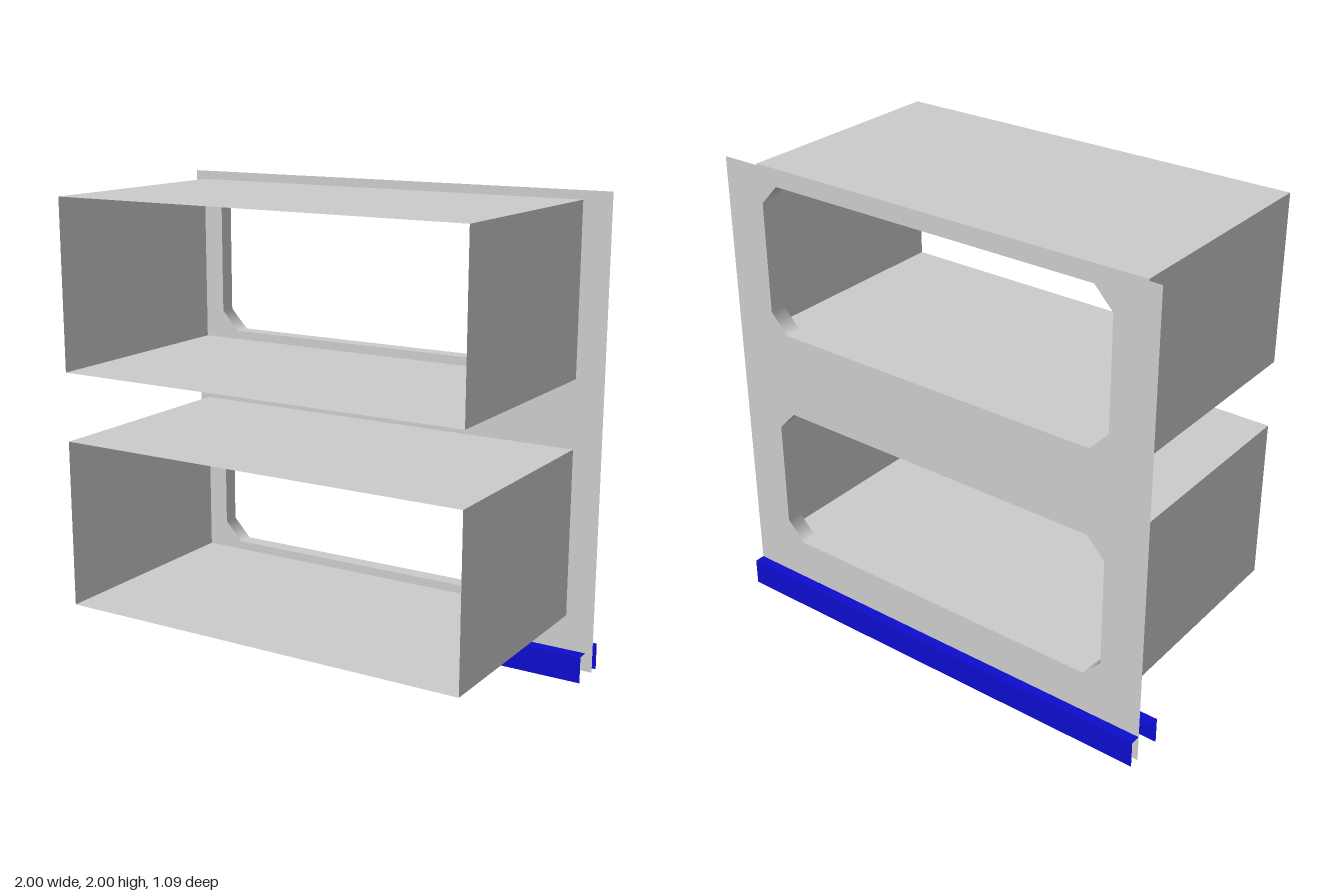
import * as THREE from 'three';

const grey = new THREE.MeshStandardMaterial({ color: 0xcccccc, side: THREE.DoubleSide });
const blue = new THREE.MeshStandardMaterial({ color: 0x0d0dcc, side: THREE.DoubleSide });

const BACK = -0.5, BOX_BACK = -0.43, FRONT = 0.545;
const BAY_HEIGHTS = [0.615, 1.615];

function named(geometry, material, name) {
  const mesh = new THREE.Mesh(geometry, material);
  mesh.name = name;
  return mesh;
}

// Corners of a rectangle, counter-clockwise
function rectangle(w, h, y) {
  return [[w, y - h], [w, y + h], [-w, y + h], [-w, y - h]].map(p => new THREE.Vector2(...p));
}

// Chamfered opening, with the inward normal at each corner
function opening(y) {
  const w = 0.815, h = 0.318, cut = 0.085;
  const points = [], normals = [];
  for (const [sx, sy] of [[1, 1], [-1, 1], [-1, -1], [1, -1]]) {
    const side = [new THREE.Vector2(sx * w, y + sy * (h - cut)), new THREE.Vector2(-sx, 0)];
    const end = [new THREE.Vector2(sx * (w - 0.08), y + sy * h), new THREE.Vector2(0, -sy)];
    for (const [p, n] of sx * sy > 0 ? [side, end] : [end, side]) {
      points.push(p);
      normals.push(n);
    }
  }
  return { points, normals };
}

// Open-ended sleeve swept along z; flat faces unless corner normals are given
function sleeve(points, z0, z1, corners) {
  const position = [], normal = [], index = [];
  points.forEach((a, i) => {
    const j = (i + 1) % points.length, b = points[j], k = i * 4;
    const flat = new THREE.Vector2(b.y - a.y, a.x - b.x).normalize();
    const na = corners ? corners[i] : flat, nb = corners ? corners[j] : flat;
    for (const [p, n] of [[a, na], [b, nb]]) {
      for (const z of [z0, z1]) {
        position.push(p.x, p.y, z);
        normal.push(n.x, n.y, 0);
      }
    }
    if (corners) index.push(k, k + 1, k + 2, k + 1, k + 3, k + 2);
    else index.push(k, k + 2, k + 1, k + 1, k + 2, k + 3);
  });
  const g = new THREE.BufferGeometry();
  g.setAttribute('position', new THREE.Float32BufferAttribute(position, 3));
  g.setAttribute('normal', new THREE.Float32BufferAttribute(normal, 3));
  g.setIndex(index);
  return g;
}

// Thin upright sheet with openings
function sheet(outline, openings, z) {
  const shape = new THREE.Shape(outline);
  shape.holes = openings.map(o => new THREE.Path(o.points));
  return new THREE.ShapeGeometry(shape).translate(0, 0, z);
}

// Angle rail: a face with a flange along its top
function rail(zFace, zFlange, name) {
  const group = new THREE.Group();
  group.name = name;
  const height = 0.115;
  const face = new THREE.PlaneGeometry(2, height);
  if (zFace < zFlange) face.rotateY(Math.PI);
  face.translate(0, height / 2, zFace);
  const flange = new THREE.PlaneGeometry(2, Math.abs(zFace - zFlange)).rotateX(-Math.PI / 2);
  flange.translate(0, height, (zFace + zFlange) / 2);
  group.add(named(face, blue, 'railFace'), named(flange, blue, 'railFlange'));
  return group;
}

export function createModel() {
  const model = new THREE.Group();
  model.name = 'wallWithBoxes';

  // Back wall
  const wall = sheet(rectangle(1, 1, 1), BAY_HEIGHTS.map(opening), BACK).rotateY(0);
  model.add(named(wall, grey, 'backWall'));

  // Two open boxes joined to the wall by chamfered window linings
  BAY_HEIGHTS.forEach((y, i) => {
    const bay = new THREE.Group();
    bay.name = i ? 'upperBay' : 'lowerBay';
    const outline = rectangle(0.905, 0.355, y), hole = opening(y);
    bay.add(
      named(sleeve(outline, BOX_BACK, FRONT), grey, 'boxSides'),
      named(sheet(outline, [hole], BOX_BACK), grey, 'boxBack'),
      named(sleeve(hole.points, BACK, BOX_BACK, hole.normals), grey, 'windowLining'),
    );
    model.add(bay);
  });

  // Rails either side of the wall foot
  model.add(rail(-0.545, BACK, 'backRail'), rail(-0.37, -0.42, 'frontRail'));
  return model;
}
